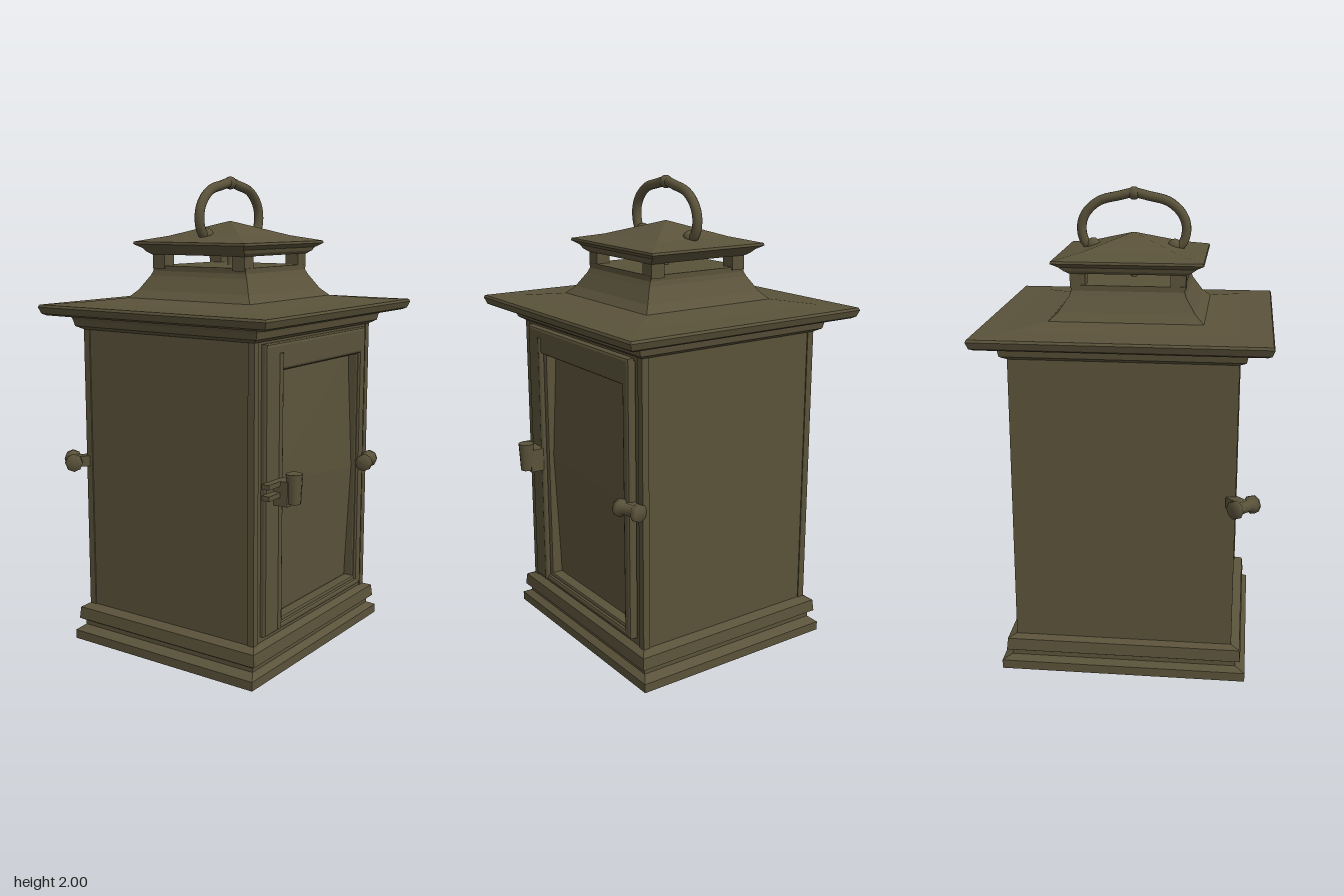
import * as THREE from 'three';

const bronze = new THREE.MeshStandardMaterial({ color: 0x5a523a });
bronze.name = 'aged bronze';

export function createModel() {
  const lantern = new THREE.Group();
  lantern.name = 'lantern';

  function add(name, geometry, x = 0, y = 0, z = 0, parent = lantern) {
    const mesh = new THREE.Mesh(geometry, bronze);
    mesh.name = name;
    mesh.position.set(x, y, z);
    parent.add(mesh);
    return mesh;
  }

  // Flat-faced triangles from a list of quads
  function quads(list) {
    const p = [];
    for (const [a, b, c, d] of list) p.push(...a, ...b, ...c, ...a, ...c, ...d);
    const g = new THREE.BufferGeometry();
    g.setAttribute('position', new THREE.Float32BufferAttribute(p, 3));
    g.computeVertexNormals();
    return g;
  }

  // Rectangular rings [half width, half depth, height], joined and capped
  function tiers(profile) {
    const rings = profile.map(([w, d, y]) => [[-w, y, d], [w, y, d], [w, y, -d], [-w, y, -d]]);
    const faces = [];
    for (let r = 0; r + 1 < rings.length; r++) {
      for (let i = 0; i < 4; i++) {
        const j = (i + 1) % 4;
        faces.push([rings[r][i], rings[r][j], rings[r + 1][j], rings[r + 1][i]]);
      }
    }
    faces.push([...rings[0]].reverse(), rings[rings.length - 1]);
    return quads(faces);
  }

  // Rectangular frame with an opening; each rectangle is [x0, y0, x1, y1]
  function frame(outer, inner, depth, bevel) {
    const trace = (path, [x0, y0, x1, y1]) =>
      path.moveTo(x0, y0).lineTo(x1, y0).lineTo(x1, y1).lineTo(x0, y1).closePath();
    const shape = trace(new THREE.Shape(), outer);
    shape.holes.push(trace(new THREE.Path(), inner));
    return new THREE.ExtrudeGeometry(shape, {
      depth, bevelEnabled: bevel > 0, bevelSize: bevel, bevelThickness: bevel,
      bevelOffset: -bevel, bevelSegments: 2,
    });
  }

  // Stepped base
  add('base', tiers([
    [0.48, 0.44, 0], [0.515, 0.465, 0.012], [0.515, 0.465, 0.05], [0.475, 0.44, 0.07],
    [0.475, 0.44, 0.088], [0.495, 0.46, 0.1], [0.49, 0.455, 0.15], [0.455, 0.43, 0.165],
  ]));

  // Body box, set back behind the front casing
  add('body', new THREE.BoxGeometry(0.9, 1.24, 0.815), 0, 0.77, -0.0225);
  add('frontCasing', frame([-0.45, 0.15, 0.45, 1.39], [-0.4, 0.19, 0.4, 1.35], 0.045, 0), 0, 0, 0.38);
  for (const x of [-0.44, 0.44]) {
    for (const z of [-0.415, 0.415]) {
      add('cornerPost', new THREE.BoxGeometry(0.03, 1.24, 0.03), x, 0.77, z);
    }
  }

  // Door with a hinge rod and a slightly folded pane
  add('doorFrame', frame([-0.4, 0.19, 0.39, 1.36], [-0.3, 0.22, 0.345, 1.25], 0.04, 0.012), 0, 0, 0.4);
  add('doorInnerFrame', frame([-0.3, 0.2, 0.37, 1.28], [-0.265, 0.235, 0.34, 1.245], 0.035, 0.008), 0, 0, 0.397);
  add('hingeRod', new THREE.CylinderGeometry(0.014, 0.014, 1.12, 10), -0.3, 0.76, 0.445);
  const ridgeL = [-0.29, 0.795, 0.418], ridgeR = [0.36, 0.74, 0.418];
  add('pane', quads([
    [[-0.29, 0.21, 0.39], [0.36, 0.21, 0.39], ridgeR, ridgeL],
    [ridgeL, ridgeR, [0.36, 1.27, 0.39], [-0.29, 1.27, 0.39]],
  ]));

  // Front hinge clasp
  const clasp = new THREE.Group();
  clasp.name = 'clasp';
  lantern.add(clasp);
  for (const y of [0.77, 0.815]) {
    add('claspTongue', new THREE.BoxGeometry(0.14, 0.02, 0.035), -0.36, y, 0.465, clasp);
  }
  add('claspStem', new THREE.BoxGeometry(0.06, 0.1, 0.1), -0.32, 0.775, 0.465, clasp);
  add('claspKnob', new THREE.CylinderGeometry(0.035, 0.028, 0.12, 8), -0.315, 0.795, 0.525, clasp);

  // Crossbar catches on two opposite corners
  function cornerCatch(name, x, y, z, turn, length) {
    const group = new THREE.Group();
    group.name = name;
    group.position.set(x, y, z);
    group.rotation.y = turn;
    lantern.add(group);
    const bar = new THREE.LatheGeometry([
      [0, -0.5], [0.036, -0.5], [0.038, -0.32], [0.025, -0.2],
      [0.025, 0.2], [0.038, 0.32], [0.036, 0.5], [0, 0.5],
    ].map(([r, h]) => new THREE.Vector2(r, h * length)), 8);
    bar.rotateZ(-Math.PI / 2);
    add('catchBar', bar, 0, 0, 0, group);
    add('catchStem', new THREE.BoxGeometry(0.045, 0.045, 0.08), 0, 0, -0.04, group);
  }
  cornerCatch('backCatch', -0.488, 0.805, -0.478, -Math.PI * 0.75, 0.12);
  cornerCatch('doorCatch', 0.405, 0.76, 0.46, 0.25, 0.12);

  // Main roof: cornice, eave and concave sweep up to the vent
  add('cornice', tiers([
    [0.455, 0.43, 1.37], [0.482, 0.455, 1.385], [0.487, 0.46, 1.41], [0.5, 0.475, 1.44],
  ]));
  add('roof', tiers([
    [0.5, 0.475, 1.425], [0.56, 0.54, 1.43], [0.575, 0.555, 1.438], [0.585, 0.565, 1.465],
    [0.58, 0.56, 1.475], [0.45, 0.445, 1.482], [0.31, 0.31, 1.498], [0.275, 0.28, 1.53],
    [0.235, 0.245, 1.59], [0.228, 0.235, 1.61], [0.228, 0.235, 1.632],
  ]));

  // Vent posts between roof and cap
  for (const x of [-0.202, 0.202]) {
    for (const z of [-0.202, 0.202]) {
      add('ventPost', new THREE.BoxGeometry(0.062, 0.07, 0.062), x, 1.655, z);
    }
  }
  add('ventRod', new THREE.CylinderGeometry(0.012, 0.012, 0.08, 8), 0, 1.655, 0);

  // Cap
  add('cap', tiers([
    [0.235, 0.235, 1.678], [0.255, 0.25, 1.69], [0.275, 0.255, 1.705], [0.305, 0.28, 1.722],
    [0.303, 0.278, 1.732], [0.19, 0.18, 1.755], [0.004, 0.004, 1.815],
  ]));

  // Carrying handle with a bead at the top
  const half = [[0.17, 1.745], [0.205, 1.775], [0.218, 1.835], [0.2, 1.89], [0.145, 1.94], [0.06, 1.963]];
  const path = [
    ...half.map(([x, y]) => new THREE.Vector3(-x, y, 0)),
    new THREE.Vector3(0, 1.975, 0),
    ...[...half].reverse().map(([x, y]) => new THREE.Vector3(x, y, 0)),
  ];
  add('handle', new THREE.TubeGeometry(new THREE.CatmullRomCurve3(path), 48, 0.02, 10));
  add('handleBead', new THREE.SphereGeometry(0.027, 12, 8), 0, 1.973, 0);
  for (const x of [-0.17, 0.17]) {
    add('handleFoot', new THREE.SphereGeometry(0.03, 12, 8), x, 1.76, 0);
  }

  return lantern;
}
